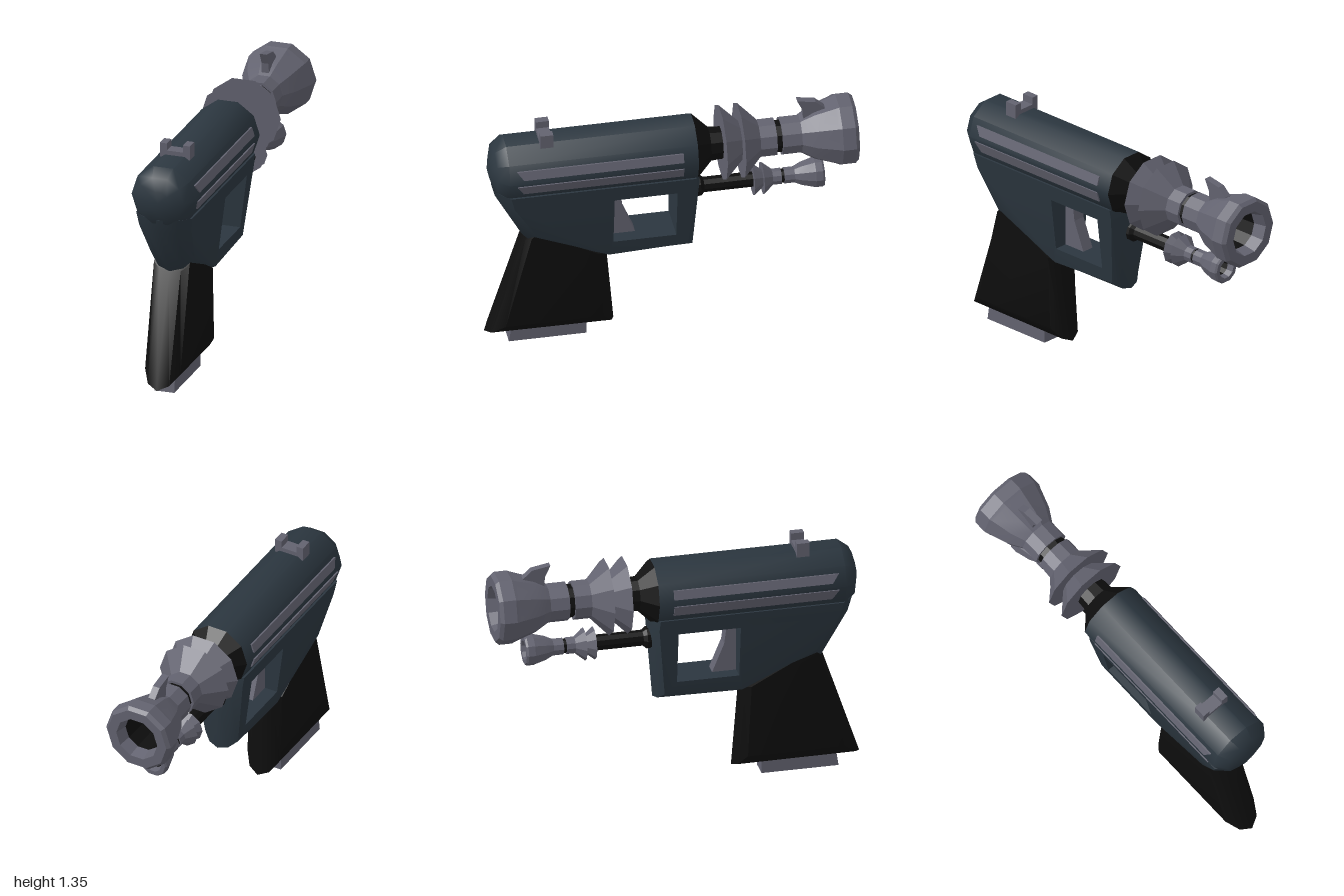
import * as THREE from 'three';
import { toCreasedNormals } from 'three/addons/utils/BufferGeometryUtils.js';

const material = (name, color) => Object.assign(new THREE.MeshStandardMaterial({ color }), { name });
const AXIS_Y = 1.115;

export function createModel() {
  const model = new THREE.Group();
  model.name = 'toyBlaster';
  const slate = material('slate body', 0x2b363f);
  const grey = material('grey metal', 0x62626f);
  const black = material('black grip', 0x0e0e0e);

  const add = (name, geometry, mat, parent = model) => {
    const mesh = new THREE.Mesh(geometry, mat);
    mesh.name = name;
    parent.add(mesh);
    return mesh;
  };

  // Ten-sided turned part along -z, from [radius, forward distance] pairs
  const turned = (profile, crease = 0.3) => {
    const pts = profile.map(([r, d]) => new THREE.Vector2(r, d));
    const g = new THREE.LatheGeometry(pts, 10, Math.PI / 2).rotateX(-Math.PI / 2);
    return toCreasedNormals(g, crease);
  };

  // Flat side outline of [z, y] points, given a width across x
  const slab = (points, width) => {
    const shape = new THREE.Shape(points.map(([z, y]) => new THREE.Vector2(z, y)));
    return new THREE.ExtrudeGeometry(shape, { depth: width, bevelEnabled: false })
      .translate(0, 0, -width / 2).rotateY(-Math.PI / 2);
  };

  // Rounded-edge shell: centre outline shrinking to a flat side outline, with optional square-cut hole
  const shell = (centre, side, halfWidth, hole = []) => {
    const pos = [];
    const put = (t, p) => pos.push(t * halfWidth(p[1]), p[1], p[0]);
    const layers = [[-1, 1], [-0.6, 0.3], [0, 0], [0.6, 0.3], [1, 1]].map(([t, k]) => ({
      t, pts: centre.map((c, i) => c.map((v, j) => v + (side[i][j] - v) * k)),
    }));
    for (let l = 0; l < 4; l++) {
      const { t: t0, pts: p } = layers[l], { t: t1, pts: q } = layers[l + 1];
      p.forEach((a, i) => {
        const n = (i + 1) % p.length;
        put(t0, a); put(t1, q[i]); put(t0, p[n]);
        put(t0, p[n]); put(t1, q[i]); put(t1, q[n]);
      });
    }
    // Inner walls of the hole
    hole.forEach((a, i) => {
      const b = hole[(i + 1) % hole.length];
      put(-1, a); put(-1, b); put(1, a);
      put(1, a); put(-1, b); put(1, b);
    });
    // Flat sides
    const vec = (list) => list.map(([z, y]) => new THREE.Vector2(z, y));
    const all = [...side, ...hole];
    for (const [a, b, c] of THREE.ShapeUtils.triangulateShape(vec(side), hole.length ? [vec(hole)] : [])) {
      [a, b, c].forEach((i) => put(-1, all[i]));
      [a, c, b].forEach((i) => put(1, all[i]));
    }
    const g = new THREE.BufferGeometry();
    g.setAttribute('position', new THREE.Float32BufferAttribute(pos, 3));
    return toCreasedNormals(g, 0.75);
  };

  // Receiver: round upper tube with a domed back, and a tapered frame below
  add('upperBody', turned([[0, -0.985], [0.06, -0.972], [0.135, -0.95], [0.18, -0.89], [0.18, 0.13], [0, 0.13]], 0.8), slate)
    .position.y = AXIS_Y;
  add('lowerBody', shell(
    [[-0.145, 1.01], [-0.16, 0.95], [-0.13, 0.5], [0.34, 0.5], [0.79, 0.65], [0.94, 0.93], [0.962, 1.01]],
    [[-0.12, 1.01], [-0.125, 0.95], [-0.085, 0.55], [0.34, 0.53], [0.74, 0.73], [0.86, 0.93], [0.88, 1.01]],
    (y) => 0.1 + 0.125 * (y - 0.55),
    [[-0.02, 0.62], [0.32, 0.62], [0.32, 0.92], [-0.02, 0.92]],
  ), slate);

  // Grip and magazine foot
  add('grip', shell(
    [[0.34, 0.52], [0.3, 0.045], [1.0, 0.05], [0.8, 0.65], [0.74, 0.73]],
    [[0.39, 0.54], [0.37, 0.13], [0.9, 0.13], [0.76, 0.69], [0.73, 0.72]],
    () => 0.1,
  ), black);
  add('magazineFoot', slab([[0.455, 0], [0.875, 0], [0.86, 0.1], [0.455, 0.1]], 0.11), grey);

  // Trigger
  add('trigger', slab([[0.33, 0.61], [0.185, 0.61], [0.255, 0.78], [0.275, 0.93], [0.33, 0.93]], 0.07), grey);

  // Side stripes lying on the facets of the upper tube
  for (const s of [1, -1]) {
    for (const [low, high] of [[1.14, 1.188], [1.042, 1.1]]) {
      const g = slab([[-0.05, low], [0.815, low], [0.85, high], [-0.05, high]], 0.016);
      const p = g.attributes.position;
      for (let i = 0; i < p.count; i++) {
        p.setX(i, p.getX(i) + s * (0.18 - 0.32 * Math.abs(p.getY(i) - AXIS_Y)));
      }
      g.computeVertexNormals();
      add(s > 0 ? 'leftStripe' : 'rightStripe', g, grey);
    }
  }

  // Notched rear sight
  const sight = new THREE.Group();
  sight.name = 'rearSight';
  model.add(sight);
  add('sightBase', new THREE.BoxGeometry(0.17, 0.04, 0.07).translate(0, 1.29, 0.675), grey, sight);
  for (const s of [1, -1]) {
    add('sightPost', new THREE.BoxGeometry(0.04, 0.08, 0.07).translate(s * 0.065, 1.31, 0.675), grey, sight);
  }

  // Muzzle: two cone rings, a narrow neck and a hollow bell; starts at its own zero
  const muzzle = (name) => {
    const group = new THREE.Group();
    group.name = name;
    add('coneRings', turned([[0.08, 0], [0.21, 0], [0.11, 0.1], [0.21, 0.1], [0.105, 0.2], [0.105, 0.29], [0.06, 0.29]]), grey, group);
    add('neck', turned([[0.09, 0.28], [0.09, 0.33]]), black, group);
    add('bell', turned([[0.06, 0.32], [0.105, 0.32], [0.105, 0.425], [0.15, 0.5], [0.188, 0.61],
      [0.197, 0.63], [0.197, 0.7], [0.18, 0.72], [0.125, 0.72], [0.108, 0.65]]), grey, group);
    add('bore', turned([[0.108, 0.65], [0.1, 0.5], [0, 0.5]]), black, group);
    model.add(group);
    return group;
  };

  // Main barrel
  add('barrelCollar', turned([[0.18, 0.13], [0.095, 0.215], [0.09, 0.29]]), black).position.y = AXIS_Y;
  muzzle('mainMuzzle').position.set(0, AXIS_Y, -0.28);
  add('frontSight', slab([[-0.725, 1.2], [-0.72, 1.28], [-0.69, 1.343], [-0.79, 1.325], [-0.84, 1.28], [-0.84, 1.2]], 0.04), grey);

  // Smaller barrel below
  add('lowerBarrel', turned([[0.06, 0.12], [0.06, 0.165], [0.043, 0.185], [0.043, 0.46]]), black).position.y = 0.85;
  const small = muzzle('lowerMuzzle');
  small.position.set(0, 0.85, -0.45);
  small.scale.set(0.43, 0.43, 0.53);

  return model;
}
